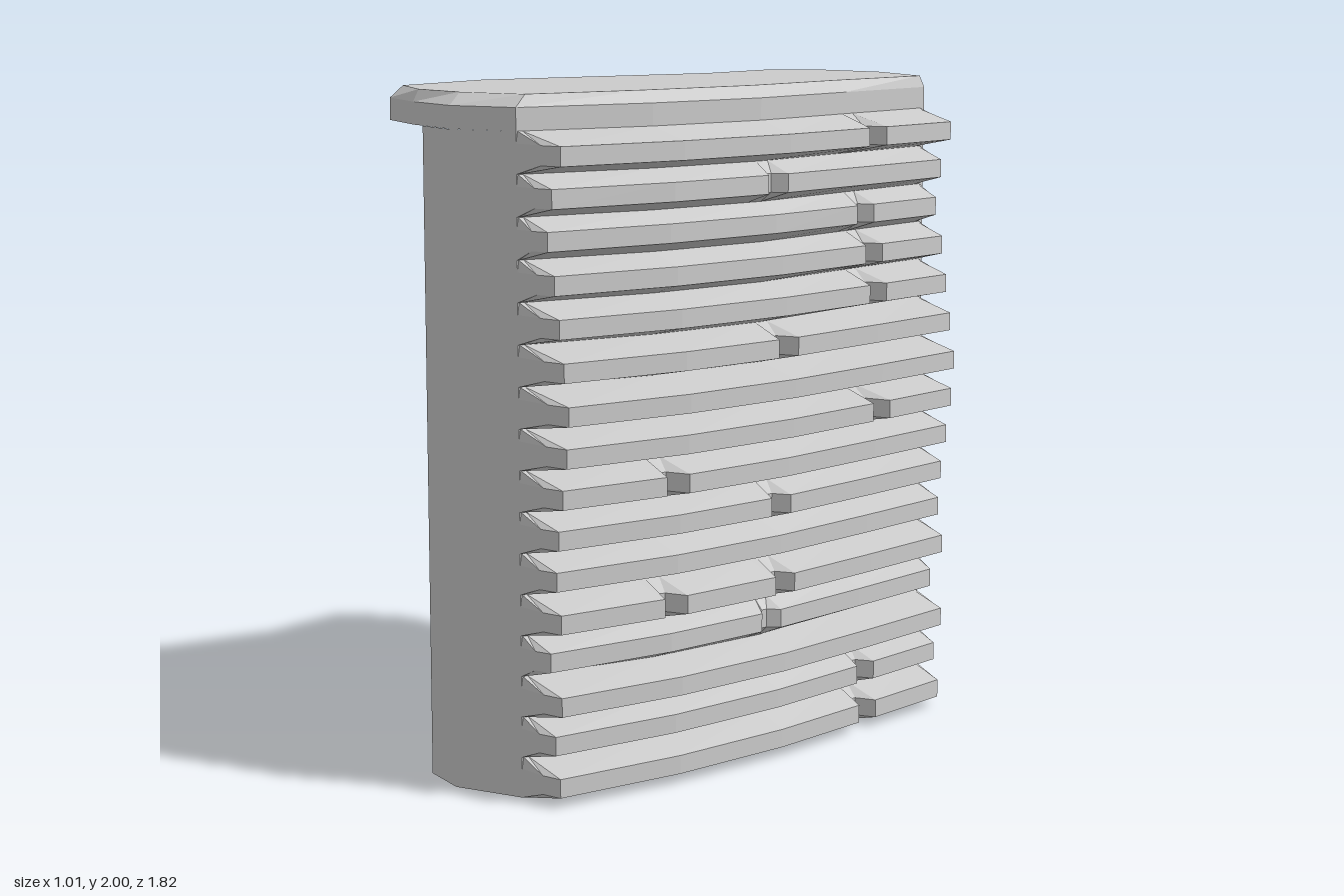
import * as THREE from 'three';

const material = new THREE.MeshStandardMaterial({ color: 0xcccccc, flatShading: true, side: THREE.DoubleSide });

// Skin a grid of [x, y, z] points: rows run upwards, columns left to right as seen from outside.
function skin(name, rows) {
  const pos = [];
  for (let i = 0; i < rows.length - 1; i++) {
    for (let j = 0; j < rows[i].length - 1; j++) {
      const a = rows[i][j], b = rows[i][j + 1], c = rows[i + 1][j + 1], d = rows[i + 1][j];
      pos.push(...a, ...b, ...c, ...a, ...c, ...d);
    }
  }
  const geometry = new THREE.BufferGeometry();
  geometry.setAttribute('position', new THREE.Float32BufferAttribute(pos, 3));
  geometry.computeVertexNormals();
  const mesh = new THREE.Mesh(geometry, material);
  mesh.name = name;
  return mesh;
}

// Piecewise linear lookup in [z, value] pairs with z falling.
function sample(pairs, z) {
  for (let i = 0; i < pairs.length - 1; i++) {
    const [z0, v0] = pairs[i], [z1, v1] = pairs[i + 1];
    if (z >= z1) return v0 + (v1 - v0) * (z0 - z) / (z0 - z1);
  }
  return pairs[pairs.length - 1][1];
}

// Cap outline: outer x, z, then top-edge x, z, then height of the rim's lower edge
const OUTLINE = [
  [-0.37, 0.80, -0.36, 0.76, 1.90], [-0.15, 0.87, -0.15, 0.85, 1.90], [0.07, 0.90, 0.05, 0.85, 1.90],
  [0.27, 0.82, 0.26, 0.78, 1.90], [0.34, 0.39, 0.30, 0.39, 1.90], [0.34, -0.02, 0.30, -0.02, 1.90],
  [0.27, -0.42, 0.23, -0.43, 1.90], [0.20, -0.83, 0.19, -0.82, 1.89], [-0.08, -0.91, -0.08, -0.91, 1.89],
  [-0.30, -0.88, -0.30, -0.88, 1.87], [-0.45, -0.75, -0.44, -0.75, 1.90], [-0.40, -0.43, -0.375, -0.43, 1.90],
  [-0.50, 0.39, -0.48, 0.39, 1.90],
];

// Wall footprint, shared by every ridge
const BASE = [[0.82, 0.27], [0.39, 0.34], [-0.02, 0.34], [-0.42, 0.27], [-0.83, 0.20]];
// Ridge depths from the ground up, and where each ridge is broken by a notch
const DEPTH = [0.11, 0.09, 0.12, 0.07, 0.12, 0.10, 0.11, 0.13, 0.15, 0.16, 0.14, 0.12, 0.10, 0.07, 0.09, 0.13];
const NOTCH = [[-0.42], [-0.43], [], [-0.01], [0.41, -0.02], [], [-0.01], [0.41], [-0.43], [], [-0.01],
  [-0.44], [-0.44], [-0.43], [-0.01], [-0.42]];
const PITCH = 1.9 / DEPTH.length;

// One ridge: slanted underside, flat face, slanted top, with bevelled ends and notches
function ridge(i) {
  const d = DEPTH[i];
  const depth = [[0.82, d], [0.80, d + 0.04], [0.39, d + 0.01], [-0.02, d], [-0.42, d + 0.02], [-0.78, d + 0.03], [-0.83, d]];
  const zs = [0.82, 0.815, 0.80, 0.39, -0.02, -0.42, -0.78, -0.80, -0.81, -0.83]
    .filter(z => NOTCH[i].every(n => Math.abs(z - n) > 0.045));
  for (const n of NOTCH[i]) zs.push(n + 0.04, n + 0.01, n - 0.01, n - 0.04);
  zs.sort((a, b) => b - a);
  const reach = z => {
    if (z === 0.82 || z <= -0.81) return 0;
    let r = sample(depth, z);
    if (z === 0.815) r *= 0.75;
    if (z === -0.80) r *= 0.8;
    if (NOTCH[i].some(n => Math.abs(z - n) < 0.02)) r *= 0.5;
    return r;
  };
  const y = i * PITCH;
  const profile = [[0, 0], [0.03, 1], [0.085, 1], [PITCH, 0]];
  return skin('ridge', profile.map(([h, k]) => zs.map(z => [sample(BASE, z) + k * reach(z), y + h, z])));
}

// Upright panel along a footprint of [x, z] points
const panel = (name, path, top) => skin(name, [0, top].map(y => path.map(([x, z]) => [x, y, z])));

export function createModel() {
  const model = new THREE.Group();

  // Cap: rim, bevel and flat top, open underneath
  const loop = [...OUTLINE, OUTLINE[0]];
  model.add(skin('cap', [
    loop.map(([x, z, , , low]) => [x, low, z]),
    loop.map(([x, z]) => [x, 1.965, z]),
    loop.map(([, , x, z]) => [x, 2, z]),
    loop.map(() => [-0.07, 2, 0]),
  ]));

  // Plain end panels
  model.add(panel('frontPanel', [[-0.09, 0.88], [0.065, 0.905], [0.27, 0.82]], 1.9));
  model.add(panel('backPanel', [[0.20, -0.83], [-0.08, -0.91]], 1.9));

  // Ridged wall
  const wall = new THREE.Group();
  wall.name = 'ridgedWall';
  for (let i = 0; i < DEPTH.length; i++) wall.add(ridge(i));
  model.add(wall);
  return model;
}
